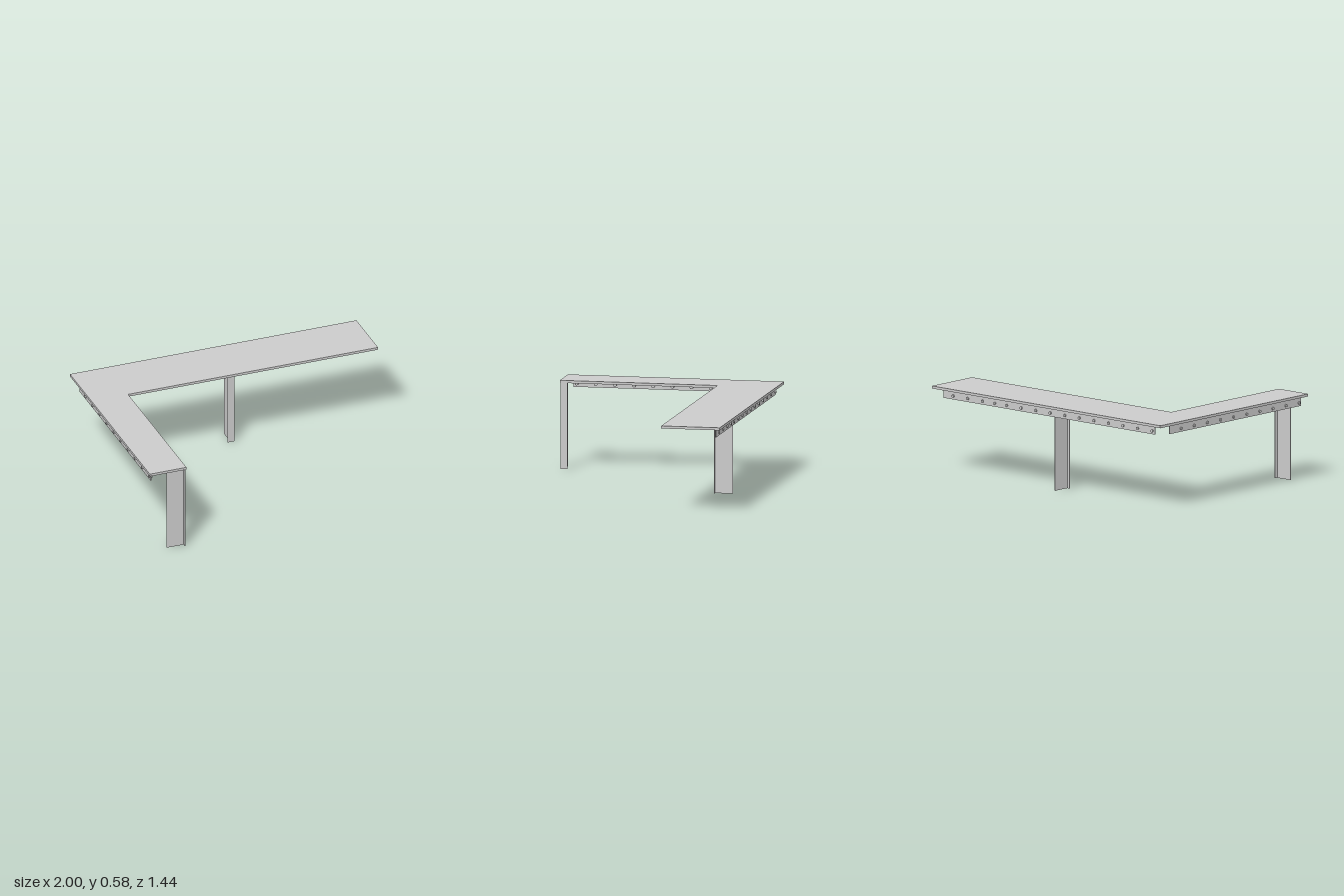
import * as THREE from 'three';

const material = new THREE.MeshStandardMaterial({ color: 0xcccccc });

function add(parent, name, geometry) {
  const mesh = new THREE.Mesh(geometry, material);
  mesh.name = name;
  parent.add(mesh);
  return mesh;
}

// Box given by its minimum and maximum corners
function block(parent, name, [x0, y0, z0], [x1, y1, z1]) {
  const mesh = add(parent, name, new THREE.BoxGeometry(x1 - x0, y1 - y0, z1 - z0));
  mesh.position.set((x0 + x1) / 2, (y0 + y1) / 2, (z0 + z1) / 2);
  return mesh;
}

// Flat outline extruded upwards; the outline's second axis is -z
function prism(parent, name, outline, y0, y1) {
  const shape = new THREE.Shape(outline.map(([x, z]) => new THREE.Vector2(x, -z)));
  const geometry = new THREE.ExtrudeGeometry(shape, { depth: y1 - y0, bevelEnabled: false });
  geometry.rotateX(-Math.PI / 2);
  const mesh = add(parent, name, geometry);
  mesh.position.y = y0;
  return mesh;
}

const TOP = 0.585, UNDER = 0.568, T = 0.005;

// T-section leg: flange centred on the origin, stem running towards -z
function makeLeg(name) {
  const leg = new THREE.Group();
  leg.name = name;
  const w = 0.0235, d = 0.123, s = T / 2;
  prism(leg, 'legProfile', [
    [-w, 0], [w, 0], [w, -T], [s, -T], [s, -d], [-s, -d], [-s, -T], [-w, -T],
  ], 0, UNDER);
  return leg;
}

// Angle bracket along x: upright plate at z = 0, flat plate towards +z
function makeBracket(name, start, end, boltPositions) {
  const bracket = new THREE.Group();
  bracket.name = name;
  block(bracket, 'uprightPlate', [start, 0.509, 0], [end, UNDER, T]);
  block(bracket, 'flatPlate', [start, UNDER - T, T], [end, UNDER, 0.077]);
  const head = new THREE.CylinderGeometry(0.0115, 0.0115, 0.012, 16);
  const nut = new THREE.CylinderGeometry(0.0095, 0.0095, 0.008, 16);
  for (const x of boltPositions) {
    const inner = add(bracket, 'boltHead', head);
    inner.rotation.x = Math.PI / 2;
    inner.position.set(x, 0.532, T + 0.006);
    const outer = add(bracket, 'boltNut', nut);
    outer.rotation.x = Math.PI / 2;
    outer.position.set(x, 0.532, -0.004);
    add(bracket, 'topBolt', head).position.set(x, UNDER - T - 0.004, 0.051);
  }
  return bracket;
}

export function createModel() {
  const model = new THREE.Group();
  model.name = 'cornerCounter';

  // L-shaped worktop
  prism(model, 'worktop', [
    [-1, 0.72], [-0.745, 0.72], [-0.745, -0.33], [1, -0.33], [1, -0.72], [-1, -0.72],
  ], UNDER, TOP);

  // Legs: one at the end of the short arm, one under the long run
  const endLeg = makeLeg('endLeg');
  endLeg.rotation.y = Math.PI / 2;
  endLeg.position.set(-0.75, 0, 0.694);
  const middleLeg = makeLeg('middleLeg');
  middleLeg.position.set(0.03, 0, -0.477);
  model.add(endLeg, middleLeg);

  // Wall brackets with evenly spaced bolts
  const step = 0.1275;
  const backBolts = Array.from({ length: 11 }, (_, i) => -0.895 + i * step);
  backBolts.push(0.484, 0.591, 0.72, 0.847);
  const back = makeBracket('backBracket', -0.917, 0.935, backBolts);
  back.position.z = -0.68;

  const sideBolts = Array.from({ length: 10 }, (_, i) => -0.655 + i * step);
  const side = makeBracket('sideBracket', -0.677, 0.605, sideBolts);
  side.rotation.y = Math.PI / 2;
  side.position.x = -0.977;
  model.add(back, side);

  return model;
}
